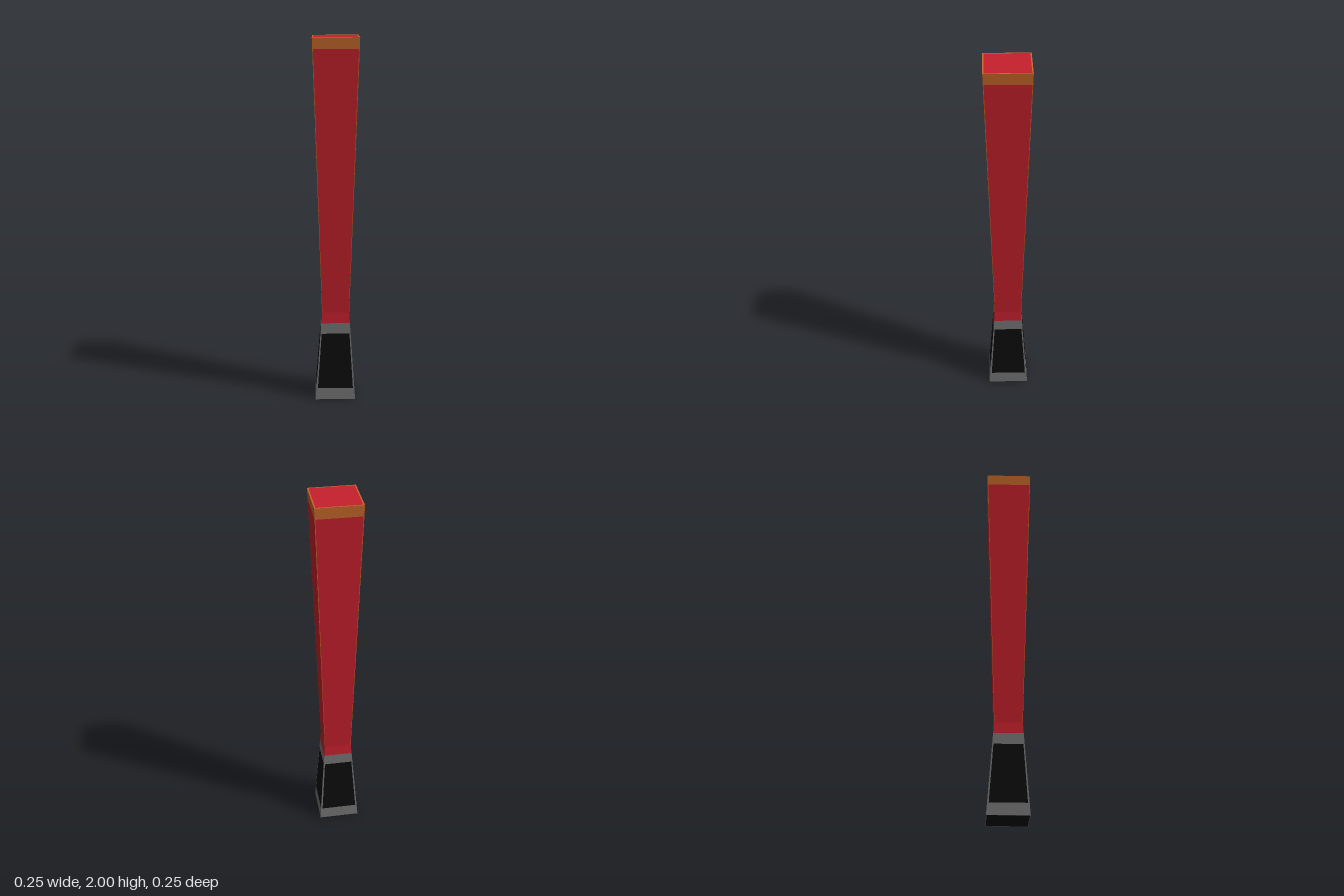
import * as THREE from 'three';

const mat = (name, color) => {
  const m = new THREE.MeshStandardMaterial({ color });
  m.name = name;
  return m;
};

// Cross-section levels: height, half width, shared x and z offset
const LEVELS = [[0, 0.111, -0.003], [0.5, 0.075, -0.001], [2, 0.124, 0]];

// Corner of the square section at height y (corner 0 is front right, then clockwise from below)
function corner(i, y) {
  const [a, b] = y <= 0.5 ? [LEVELS[0], LEVELS[1]] : [LEVELS[1], LEVELS[2]];
  const t = (y - a[0]) / (b[0] - a[0]);
  const w = a[1] + (b[1] - a[1]) * t;
  const o = a[2] + (b[2] - a[2]) * t;
  const [sx, sz] = [[-1, 1], [1, 1], [1, -1], [-1, -1]][i % 4];
  return new THREE.Vector3(o + sx * w, y, o + sz * w);
}

// Mesh from a list of quads, each with four corners counter-clockwise from outside
function quadMesh(name, material, quads) {
  const pts = quads.flatMap(([a, b, c, d]) => [a, b, c, a, c, d]);
  const geo = new THREE.BufferGeometry().setFromPoints(pts);
  geo.computeVertexNormals();
  const mesh = new THREE.Mesh(geo, material);
  mesh.name = name;
  return mesh;
}

// Quads around all four sides from y0 to y1, covering the fraction u0..u1 of each side
function ring(y0, y1, u0 = 0, u1 = 1) {
  return [0, 1, 2, 3].map((i) => {
    const at = (y, u) => corner(i, y).lerp(corner(i + 1, y), u);
    return [at(y0, u0), at(y0, u1), at(y1, u1), at(y1, u0)];
  });
}

// Centre panel with narrow edge trims on every side
const panel = (y0, y1, e) => ring(y0, y1, e, 1 - e);
const trims = (y0, y1, e) => [...ring(y0, y1, 0, e), ...ring(y0, y1, 1 - e, 1)];

// Flat end square with a border
function cap(y, e, up) {
  const mid = new THREE.Vector3().addVectors(corner(0, y), corner(2, y)).multiplyScalar(0.5);
  const outer = [0, 1, 2, 3].map((i) => corner(i, y));
  const inner = outer.map((p) => p.clone().lerp(mid, e));
  const face = (q) => (up ? q : q.reverse());
  const border = [0, 1, 2, 3].map((i) => {
    const j = (i + 1) % 4;
    return face([outer[i], outer[j], inner[j], inner[i]]);
  });
  return { border, centre: [face([...inner])] };
}

export function createModel() {
  const red = mat('red', 0xc8202d);
  const orange = mat('orange', 0xc8692a);
  const grey = mat('grey', 0x747474);
  const black = mat('black', 0x0c0c0c);

  const group = new THREE.Group();
  group.name = 'taperedPost';
  const top = cap(2, 0.055, true);
  const bottom = cap(0, 0.03, false);

  group.add(
    // Grip: black panels framed in grey
    quadMesh('gripPanels', black, [...panel(0.065, 0.38, 0.04), ...bottom.centre]),
    quadMesh('gripFrame', grey, [
      ...ring(0, 0.065), ...trims(0.065, 0.38, 0.04), ...ring(0.38, 0.44), ...bottom.border,
    ]),
    // Shaft: red panels with thin orange edges
    quadMesh('shaftCollar', red, ring(0.44, 0.5)),
    quadMesh('shaftPanels', red, [...panel(0.5, 1.94, 0.015), ...top.centre]),
    quadMesh('shaftTrim', orange, [
      ...trims(0.5, 1.94, 0.015), ...ring(1.94, 2), ...top.border,
    ]),
  );
  return group;
}
